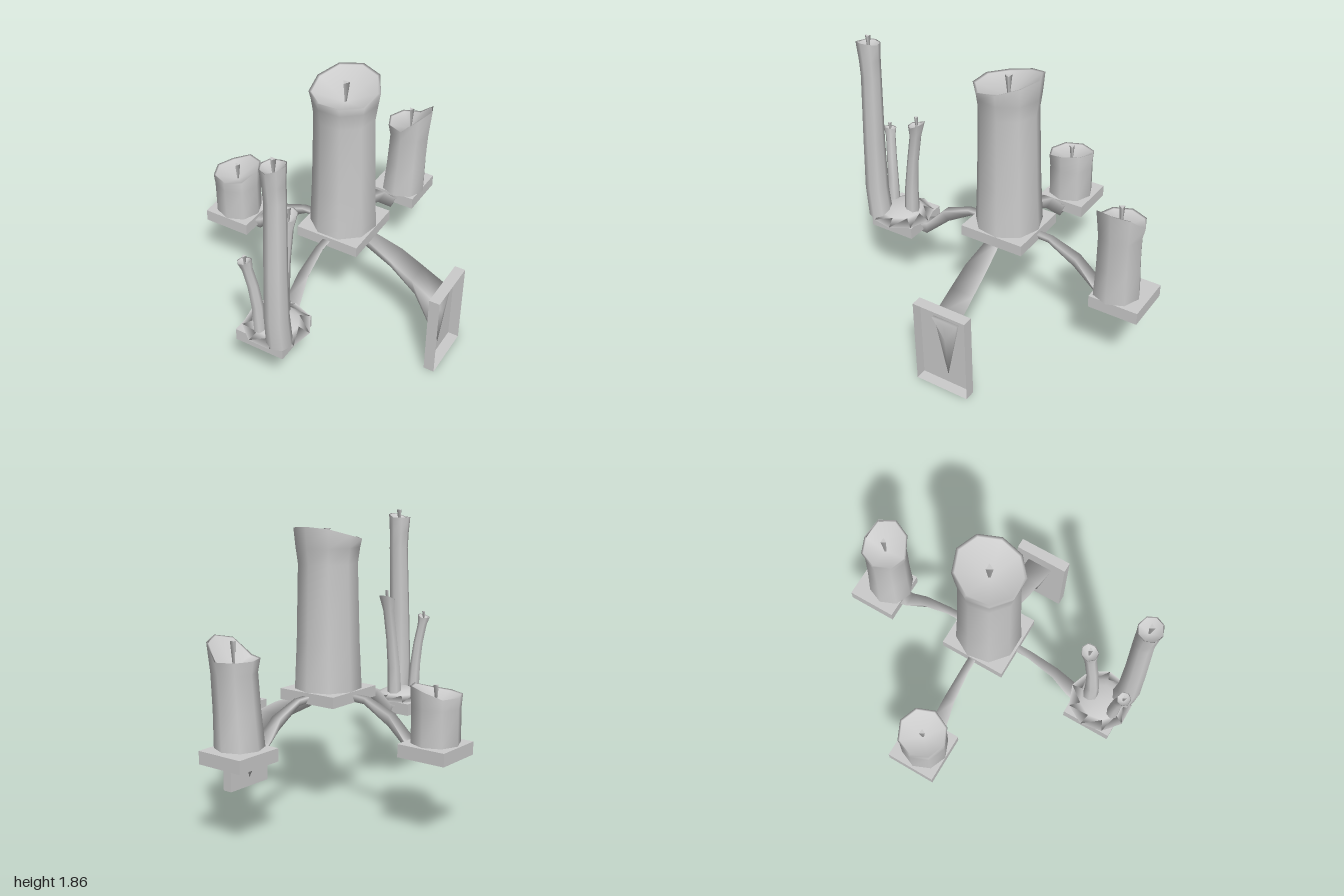
import * as THREE from 'three';

const material = new THREE.MeshStandardMaterial({ color: 0xcccccc, side: THREE.DoubleSide });

// Skin a list of equal-length point rings; optional centre points close the ends.
function loft(name, rings, startCap, endCap) {
  const n = rings[0].length, pos = rings.flat(2), index = [];
  for (let i = 0; i < rings.length - 1; i++) {
    for (let j = 0; j < n; j++) {
      const a = i * n + j, b = i * n + (j + 1) % n;
      index.push(a, a + n, b, b, a + n, b + n);
    }
  }
  const count = rings.length * n;
  if (startCap) {
    pos.push(...startCap);
    for (let j = 0; j < n; j++) index.push(pos.length / 3 - 1, j, (j + 1) % n);
  }
  if (endCap) {
    pos.push(...endCap);
    for (let j = 0; j < n; j++) index.push(pos.length / 3 - 1, count - n + (j + 1) % n, count - n + j);
  }
  const geo = new THREE.BufferGeometry();
  geo.setAttribute('position', new THREE.Float32BufferAttribute(pos, 3));
  geo.setIndex(index);
  geo.computeVertexNormals();
  const mesh = new THREE.Mesh(geo, material);
  mesh.name = name;
  return mesh;
}

// Horizontal ring; angle 0 points to the back, 90 degrees to +x.
function ring(x, y, z, r, sides, lift = () => 0) {
  return Array.from({ length: sides }, (_, j) => {
    const a = (j / sides) * Math.PI * 2;
    return [x + r * Math.sin(a), y + lift(a), z - r * Math.cos(a)];
  });
}

// Candle: stacked rings [x, y, z, r], a rim raised toward `peak`, a melted bowl and a wick.
function candle(name, sections, { sides, peak, amp, depth, wickTop, wickR = 0.02 }) {
  const group = new THREE.Group();
  group.name = name;
  const lift = a => amp * Math.max(0, Math.cos(a - peak * Math.PI / 180)) ** 0.6;
  const [x, y, z, r] = sections[sections.length - 1];
  const rings = sections.map((s, i) => ring(...s, sides, i === sections.length - 1 ? lift : undefined));
  rings.push(ring(x, y - 0.005, z, r * 0.92, sides, lift));
  group.add(loft(name + 'Wax', rings, null, [x, y - depth, z]));

  const h = wickTop - (y - depth);
  const wick = new THREE.Mesh(new THREE.CylinderGeometry(wickR, wickR * 0.3, h, 3), material);
  wick.name = name + 'Wick';
  wick.position.set(x, wickTop - h / 2, z);
  group.add(wick);
  return group;
}

// Shallow tray, open underneath.
function tray(name, w, h, d, x, y, z) {
  const geo = new THREE.BoxGeometry(w, h, d);
  const idx = Array.from(geo.index.array);
  idx.splice(18, 6);
  geo.setIndex(idx);
  geo.clearGroups();
  const mesh = new THREE.Mesh(geo, material);
  mesh.name = name;
  mesh.position.set(x, y, z);
  return mesh;
}

// Three-sided arm running along +x: sections are [x, top, bottom, half width, bottom x].
function arm(name, sections) {
  const rings = sections.map(([x, top, bottom, w, bx = x]) => [[x, top, w], [x, top, -w], [bx, bottom, 0]]);
  const middle = r => [0, 1, 2].map(k => (r[0][k] + r[1][k] + r[2][k]) / 3);
  return loft(name, rings, middle(rings[0]), middle(rings[rings.length - 1]));
}

export function createModel() {
  const model = new THREE.Group();
  const cx = 0.1, cz = -0.025;

  // Trays and the wall plate
  model.add(
    tray('centreTray', 0.42, 0.07, 0.43, cx, 0.765, cz),
    tray('leftTray', 0.32, 0.08, 0.32, -0.71, 0.54, -0.03),
    tray('frontTray', 0.32, 0.08, 0.32, cx, 0.54, 0.79),
    tray('backTray', 0.32, 0.08, 0.32, cx, 0.54, -0.84),
  );
  const wallPlate = tray('wallPlate', 0.58, 0.07, 0.365, 0.835, 0.29, -0.022);
  wallPlate.rotation.z = Math.PI / 2;
  model.add(wallPlate);

  // Three matching candle arms
  const names = { frontArm: -Math.PI / 2, backArm: Math.PI / 2, sideArm: Math.PI };
  for (const [name, turn] of Object.entries(names)) {
    const a = arm(name, [
      [0.1, 0.78, 0.735, 0.025],
      [0.3, 0.775, 0.73, 0.025, 0.28],
      [0.49, 0.70, 0.62, 0.035, 0.465],
      [0.61, 0.575, 0.455, 0.05, 0.65],
      [0.74, 0.515, 0.465, 0.06],
    ]);
    a.rotation.y = turn;
    a.position.set(cx, 0, cz);
    model.add(a);
  }

  // Heavier arm to the wall plate
  const wallArm = arm('wallArm', [
    [0.03, 0.785, 0.73, 0.03],
    [0.17, 0.745, 0.65, 0.045, 0.15],
    [0.38, 0.66, 0.55, 0.075, 0.34],
    [0.53, 0.58, 0.40, 0.082, 0.52],
    [0.70, 0.485, 0.06, 0.09],
    [0.72, 0.485, 0.34, 0.09],
  ]);
  wallArm.position.set(cx, 0, cz);
  model.add(wallArm);

  // Large centre candle
  model.add(candle('centreCandle', [
    [cx, 0.8, cz, 0.212], [cx, 1.1, cz, 0.198], [cx, 1.58, cz, 0.186],
    [cx, 1.68, cz, 0.2], [cx, 1.73, cz, 0.212],
  ], { sides: 9, peak: 0, amp: 0.08, depth: 0.07, wickTop: 1.79, wickR: 0.025 }));

  // Short side candle and medium back candle
  model.add(candle('sideCandle', [
    [-0.705, 0.58, -0.02, 0.15], [-0.705, 0.8, -0.02, 0.15], [-0.705, 0.87, -0.02, 0.157],
  ], { sides: 8, peak: 50, amp: 0.055, depth: 0.06, wickTop: 0.925 }));
  model.add(candle('backCandle', [
    [0.13, 0.58, -0.8, 0.148], [0.14, 0.8, -0.805, 0.138], [0.15, 1.02, -0.81, 0.135],
    [0.152, 1.1, -0.81, 0.152],
  ], { sides: 8, peak: 90, amp: 0.12, depth: 0.05, wickTop: 1.2 }));

  // Puddle of wax with three thin candles
  model.add(loft('waxPuddle', [
    ring(0.125, 0.582, 0.795, 0.205, 9), ring(0.125, 0.615, 0.8, 0.14, 9),
    ring(0.125, 0.64, 0.8, 0.09, 9),
  ], [0.125, 0.582, 0.795], [0.125, 0.635, 0.8]));
  model.add(candle('tallCandle', [
    [0.215, 0.585, 0.908, 0.078], [0.215, 0.8, 0.925, 0.074], [0.215, 1.15, 0.915, 0.068],
    [0.215, 1.6, 0.895, 0.063], [0.213, 1.71, 0.897, 0.066], [0.213, 1.81, 0.9, 0.074],
  ], { sides: 8, peak: 90, amp: 0.025, depth: 0.05, wickTop: 1.86 }));
  model.add(candle('middleCandle', [
    [0.115, 0.59, 0.725, 0.05], [0.117, 0.8, 0.715, 0.044], [0.12, 1.0, 0.69, 0.038],
    [0.122, 1.2, 0.655, 0.038], [0.125, 1.28, 0.64, 0.055],
  ], { sides: 7, peak: 0, amp: 0.03, depth: 0.04, wickTop: 1.34, wickR: 0.015 }));
  model.add(candle('smallCandle', [
    [0.08, 0.59, 0.9, 0.04], [0.07, 0.8, 0.905, 0.036], [0.055, 0.95, 0.915, 0.033],
    [0.033, 1.08, 0.93, 0.032], [0.025, 1.13, 0.938, 0.042],
  ], { sides: 7, peak: 90, amp: 0.02, depth: 0.03, wickTop: 1.17, wickR: 0.014 }));

  return model;
}
